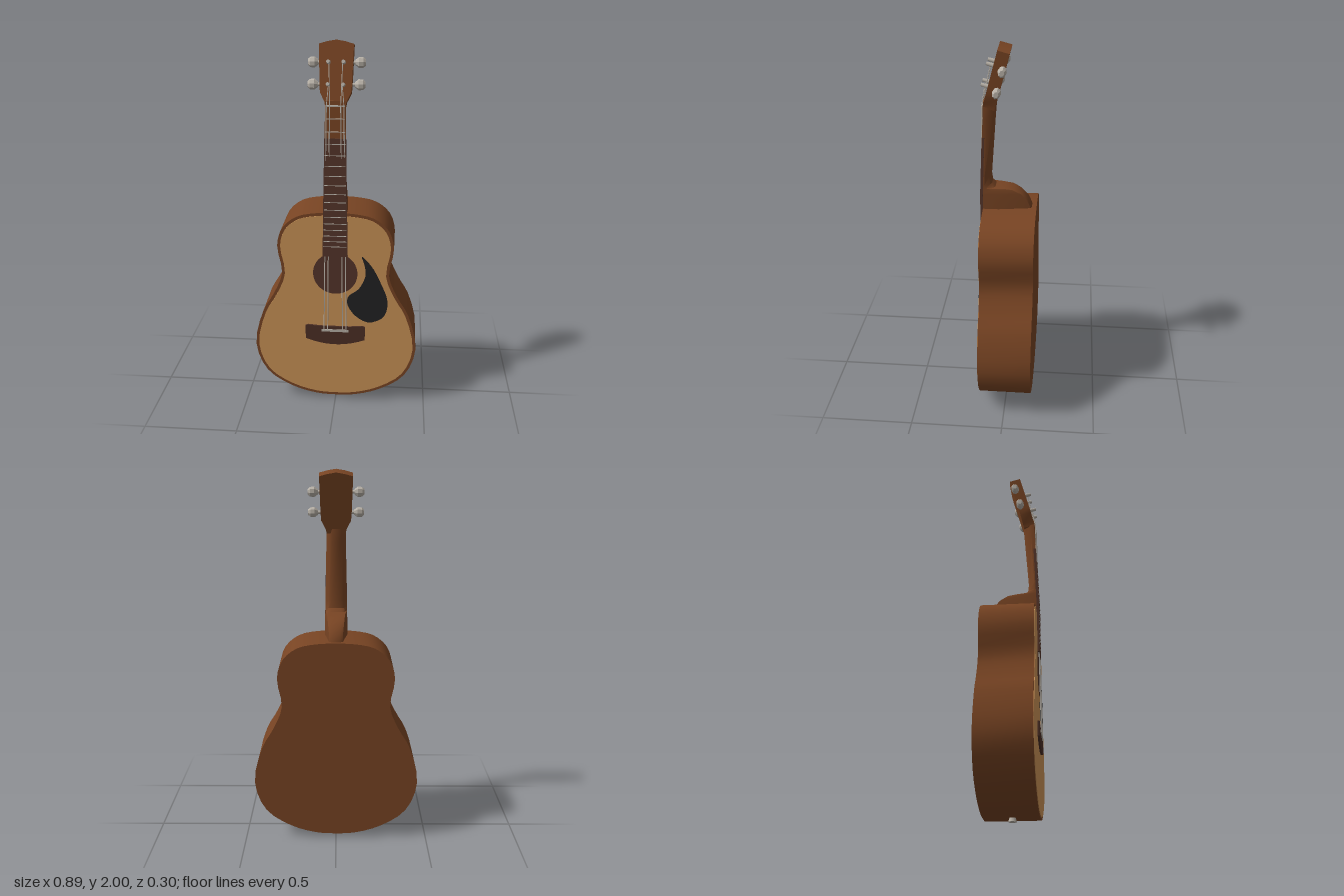
import * as THREE from 'three';
import { toCreasedNormals } from 'three/addons/utils/BufferGeometryUtils.js';

const paint = (name, color) => {
  const m = new THREE.MeshStandardMaterial({ color });
  m.name = name;
  return m;
};
const V = (x, y, z) => new THREE.Vector3(x, y, z);

// Flat-ended slab from a shape
function slab(shape, depth, z, segments = 12) {
  const g = new THREE.ExtrudeGeometry(shape, { depth, bevelEnabled: false, curveSegments: segments });
  g.translate(0, 0, z);
  return toCreasedNormals(g, 0.5);
}

// Joins stacked rings of equal length (listed bottom to top, counter-clockwise seen from +y) and caps them
function loft(rings) {
  const n = rings[0].length, pos = [];
  const tri = (...p) => p.forEach((v) => pos.push(v.x, v.y, v.z));
  for (let i = 0; i < rings.length - 1; i++) {
    for (let j = 0; j < n; j++) {
      const k = (j + 1) % n, a = rings[i], b = rings[i + 1];
      tri(a[j], a[k], b[k]);
      tri(a[j], b[k], b[j]);
    }
  }
  const top = rings[rings.length - 1];
  for (let j = 1; j < n - 1; j++) {
    tri(rings[0][0], rings[0][j + 1], rings[0][j]);
    tri(top[0], top[j], top[j + 1]);
  }
  const g = new THREE.BufferGeometry();
  g.setAttribute('position', new THREE.Float32BufferAttribute(pos, 3));
  return toCreasedNormals(g, 0.6);
}

// Round bar between two points
function bar(a, b, r, sides = 6, r2 = r) {
  const d = b.clone().sub(a);
  const g = new THREE.CylinderGeometry(r2, r, d.length(), sides);
  g.applyQuaternion(new THREE.Quaternion().setFromUnitVectors(V(0, 1, 0), d.normalize()));
  const mid = a.clone().add(b).multiplyScalar(0.5);
  return g.translate(mid.x, mid.y, mid.z);
}

// Body outline, optionally drawn inward from the rim
function bodyShape(inset) {
  const half = [[0, 0.02], [0.11, 0.027], [0.25, 0.07], [0.385, 0.165], [0.445, 0.33], [0.398, 0.54],
    [0.335, 0.65], [0.289, 0.77], [0.312, 0.93], [0.282, 1.03], [0.205, 1.095], [0.1, 1.118]];
  const pts = [...half, [0, 1.122], ...half.slice(1).reverse().map(([x, y]) => [-x, y])];
  const curve = new THREE.CatmullRomCurve3(pts.map(([x, y]) => V(x, y, 0)), true);
  const N = 72;
  return new THREE.Shape(Array.from({ length: N }, (_, i) => {
    const p = curve.getPoint(i / N), t = curve.getTangent(i / N);
    return new THREE.Vector2(p.x - t.y * inset, p.y + t.x * inset);
  }));
}

const neckWidth = (y) => 0.066 - (y - 0.88) * 0.0185;
const neckFront = (y) => (y < 1.2 ? 0.147 : 0.147 - (y - 1.2) * 0.038);

export function createModel() {
  const model = new THREE.Group();
  const wood = paint('brown wood', 0x784423);
  const spruce = paint('tan top wood', 0xcb9357);
  const dark = paint('dark wood', 0x55352a);
  const bridgeWood = paint('bridge wood', 0x4c2f25);
  const black = paint('black plate', 0x222223);
  const metal = paint('light metal', 0xb9b2a8);
  const add = (name, g, m, parent = model) => {
    const mesh = new THREE.Mesh(g, m);
    mesh.name = name;
    parent.add(mesh);
    return mesh;
  };

  // Body with inset top and sound hole
  add('body', slab(bodyShape(0), 0.283, -0.148), wood);
  add('soundboard', slab(bodyShape(0.016), 0.006, 0.132), spruce);
  const hole = new THREE.CircleGeometry(0.12, 36);
  add('soundHole', hole.translate(0, 0.778, 0.1395), dark);

  // Teardrop pickguard
  const guard = new THREE.CatmullRomCurve3([[0.143, 0.88], [0.195, 0.825], [0.245, 0.73], [0.284, 0.62],
    [0.265, 0.53], [0.185, 0.492], [0.11, 0.53], [0.066, 0.6], [0.072, 0.645], [0.127, 0.69],
    [0.163, 0.77], [0.158, 0.83]].map(([x, y]) => V(x, y, 0)), true).getPoints(40);
  add('pickguard', slab(new THREE.Shape(guard.slice(0, -1).reverse().map((p) => new THREE.Vector2(p.x, p.y))), 0.005, 0.137), black);

  // Bridge and saddle
  const b = new THREE.Shape();
  b.moveTo(-0.165, 0.462);
  b.lineTo(-0.163, 0.385);
  b.quadraticCurveTo(-0.08, 0.352, 0, 0.352);
  b.quadraticCurveTo(0.08, 0.352, 0.163, 0.385);
  b.lineTo(0.165, 0.462);
  b.lineTo(0.15, 0.468);
  b.lineTo(0.08, 0.462);
  b.lineTo(-0.08, 0.462);
  b.lineTo(-0.15, 0.468);
  add('bridge', slab(b, 0.014, 0.134), bridgeWood);
  add('saddle', new THREE.BoxGeometry(0.15, 0.014, 0.006).translate(0, 0.438, 0.149), metal);

  // Neck and heel: rows of height, back depth, back half width
  const ring = ([y, zb, bw]) => {
    const w = neckWidth(y), zf = neckFront(y), zm = zf - (zf - zb) * 0.35;
    return [V(w, y, zf), V(w, y, zm), V(bw, y, zb + 0.008), V(bw * 0.6, y, zb),
      V(-bw * 0.6, y, zb), V(-bw, y, zb + 0.008), V(-w, y, zm), V(-w, y, zf)];
  };
  add('neckAndHeel', loft([[1.08, -0.128, 0.036], [1.13, -0.122, 0.036], [1.17, -0.105, 0.038], [1.205, -0.072, 0.042],
    [1.228, -0.03, 0.046], [1.236, 0.02, 0.048], [1.24, 0.07, 0.047], [1.258, 0.088, 0.043],
    [1.3, 0.093, 0.04], [1.62, 0.07, 0.035], [1.71, 0.062, 0.036]].map(ring)), wood);

  // Fingerboard, frets and nut
  const boardRing = (y) => {
    const w = neckWidth(y) + 0.001, z = neckFront(y) + 0.002;
    return [V(w, y, z), V(w, y, z - 0.014), V(-w, y, z - 0.014), V(-w, y, z)];
  };
  add('fingerboard', loft([0.88, 1.2, 1.52].map(boardRing)), dark);
  for (let i = 1; i <= 16; i++) {
    const y = 0.44 + 1.25 * Math.pow(2, -i / 12);
    add('fret', new THREE.BoxGeometry(neckWidth(y) * 1.9, 0.004, 0.004).translate(0, y, neckFront(y) + 0.001), metal);
  }
  add('nut', new THREE.BoxGeometry(0.096, 0.008, 0.01).translate(0, 1.685, 0.129), metal);

  // Tilted headstock
  const head = new THREE.Group();
  head.name = 'headstock';
  head.position.set(0, 1.69, 0.128);
  head.rotation.x = -0.26;
  model.add(head);
  const outline = [[0.05, -0.01], [0.055, 0.015], [0.078, 0.062], [0.081, 0.1], [0.087, 0.3], [0.045, 0.312]];
  const hs = new THREE.Shape([...outline, [0, 0.32], ...outline.map(([x, y]) => [-x, y]).reverse()]
    .map(([x, y]) => new THREE.Vector2(x, y)));
  add('headPlate', slab(hs, 0.062, -0.062), wood, head);

  // Tuning posts, shafts and knobs
  for (const s of [-1, 1]) {
    for (const y of [0.1, 0.21]) {
      add('tuningPost', bar(V(s * 0.038, y, -0.01), V(s * 0.038, y, 0.037), 0.012, 8, 0.009), metal, head);
      add('tuningShaft', bar(V(s * 0.06, y + 0.005, -0.05), V(s * 0.1, y + 0.005, -0.05), 0.009, 8), metal, head);
      const profile = [[0, 0], [0.014, 0], [0.028, 0.018], [0.026, 0.04], [0.015, 0.052], [0, 0.052]];
      const knob = new THREE.LatheGeometry(profile.map(([r, h]) => new THREE.Vector2(r, h)), 8);
      knob.scale(1, 1, 0.8).rotateZ(-s * Math.PI / 2).translate(s * 0.094, y + 0.005, -0.05);
      add('tuningKnob', toCreasedNormals(knob, 0.4), metal, head);
    }
  }

  // Strings from saddle over the nut to the posts
  head.updateMatrix();
  for (const s of [-1, 1]) {
    [[0.061, 0.044, 0.1], [0.041, 0.028, 0.21]].forEach(([x0, x1, post]) => {
      const nut = V(s * x1, 1.688, 0.135);
      add('string', bar(V(s * x0, 0.438, 0.151), nut, 0.0028, 5), metal);
      add('stringEnd', bar(nut, V(s * 0.034, post, 0.016).applyMatrix4(head.matrix), 0.0022, 5), metal);
    });
  }

  // Strap button under the body
  add('endPin', new THREE.CylinderGeometry(0.014, 0.022, 0.026, 10).translate(0, 0.013, 0), metal);
  return model;
}
